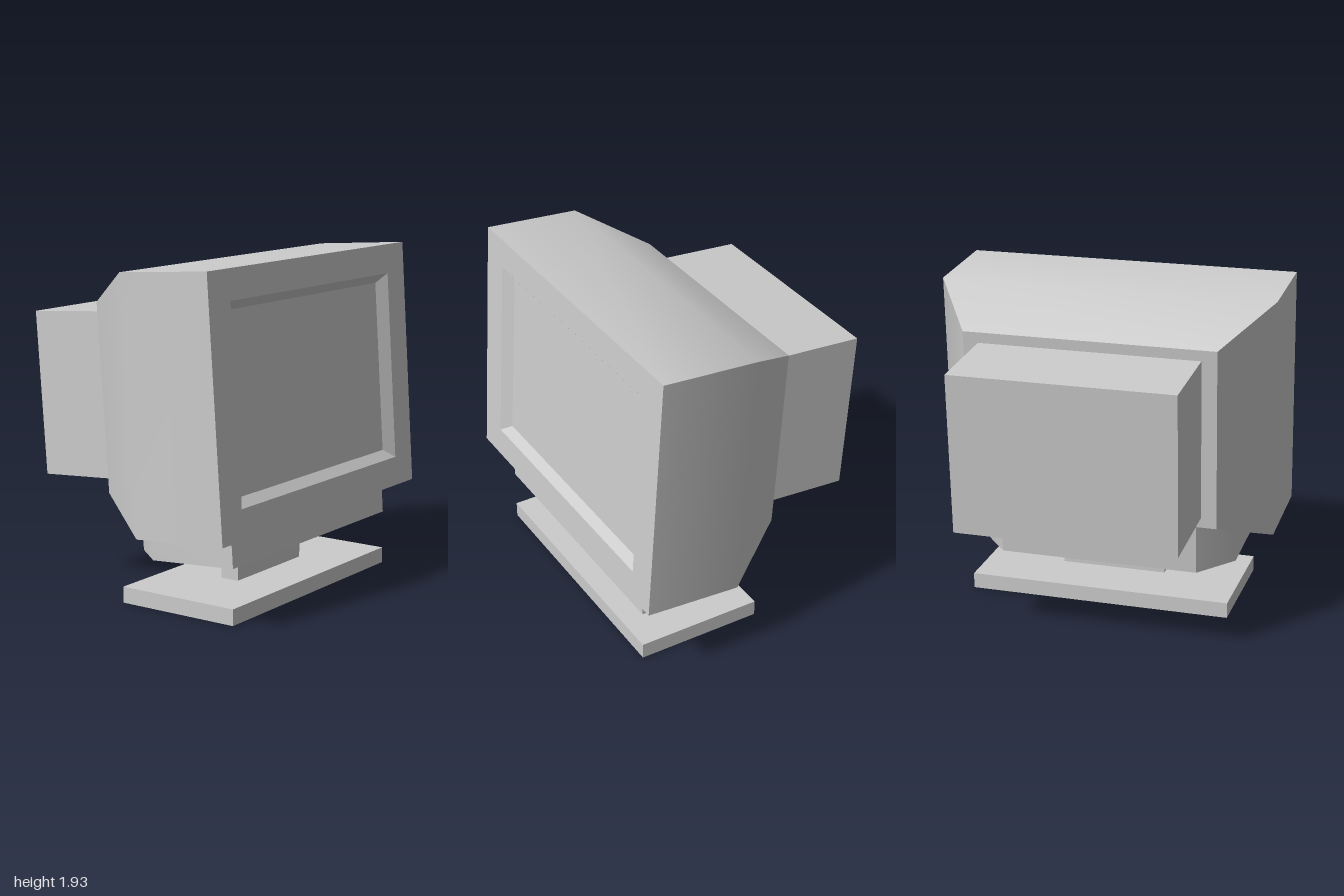
import * as THREE from 'three';
import { toCreasedNormals } from 'three/addons/utils/BufferGeometryUtils.js';

const CREASE = THREE.MathUtils.degToRad(44);

function add(parent, name, geometry, color = 0xcccccc) {
  const mesh = new THREE.Mesh(geometry, new THREE.MeshStandardMaterial({ color }));
  mesh.name = name;
  parent.add(mesh);
  return mesh;
}

// Box given by its limits on each axis
function box(x, y0, y1, z0, z1) {
  return new THREE.BoxGeometry(2 * x, y1 - y0, z1 - z0)
    .translate(0, (y0 + y1) / 2, (z0 + z1) / 2);
}

// Skin over rectangles [halfWidth, bottom, top, z], listed from front to back
function loft(rings, creaseAngle, capBack) {
  const corners = rings.map(([x, b, t, z]) => [[-x, b, z], [x, b, z], [x, t, z], [-x, t, z]]);
  const pos = [];
  const quad = (a, b, c, d) => pos.push(...a, ...b, ...c, ...a, ...c, ...d);
  for (let i = 0; i < corners.length - 1; i++) {
    const f = corners[i], k = corners[i + 1];
    for (let j = 0; j < 4; j++) {
      const n = (j + 1) % 4;
      quad(f[j], k[j], k[n], f[n]);
    }
  }
  if (capBack) {
    const [a, b, c, d] = corners[corners.length - 1];
    quad(a, d, c, b);
  }
  const g = new THREE.BufferGeometry();
  g.setAttribute('position', new THREE.Float32BufferAttribute(pos, 3));
  g.computeVertexNormals();
  return creaseAngle ? toCreasedNormals(g, creaseAngle) : g;
}

export function createModel() {
  const model = new THREE.Group();
  model.name = 'monitor';

  // Level foot and post
  add(model, 'base', box(0.79, 0, 0.093, -0.05, 0.7));
  add(model, 'post', box(0.32, 0.09, 0.32, 0.29, 0.405));

  // Tilted head, pivoting on the lower front edge of the housing
  const head = new THREE.Group();
  head.name = 'head';
  head.position.set(0, 0.49, 0.78);
  head.rotation.x = THREE.MathUtils.degToRad(-4);
  model.add(head);

  // Housing: front frame, straight sides, tapered back
  const opening = [0.81, 0.17, 1.273, 0];
  const screen = [0.74, 0.222, 1.222, -0.045];
  add(head, 'housing', loft([
    opening,
    [1, 0, 1.443, 0],
    [1, 0, 1.443, -0.57],
    [0.745, 0.182, 1.259, -0.95],
  ], CREASE, true));

  // Sloping recess around the screen
  add(head, 'screenBezel', loft([screen, opening], 0, false));
  add(head, 'screen', new THREE.PlaneGeometry(2 * screen[0], screen[2] - screen[1])
    .translate(0, (screen[1] + screen[2]) / 2, screen[3]));

  // Tube cover at the back
  add(head, 'tubeCover', box(0.655, 0.244, 1.196, -1.48, -0.94));

  // Swivel block with chamfered rear corners
  const plan = new THREE.Shape([
    [-0.79, 0.092], [0.79, 0.092], [0.79, 0.63],
    [0.6, 0.843], [-0.6, 0.843], [-0.79, 0.63],
  ].map(([x, y]) => new THREE.Vector2(x, y)));
  const block = new THREE.ExtrudeGeometry(plan, { depth: 0.325, bevelEnabled: false });
  block.rotateX(-Math.PI / 2).translate(0, -0.167, 0);
  add(head, 'swivelBlock', toCreasedNormals(block, CREASE));

  return model;
}
